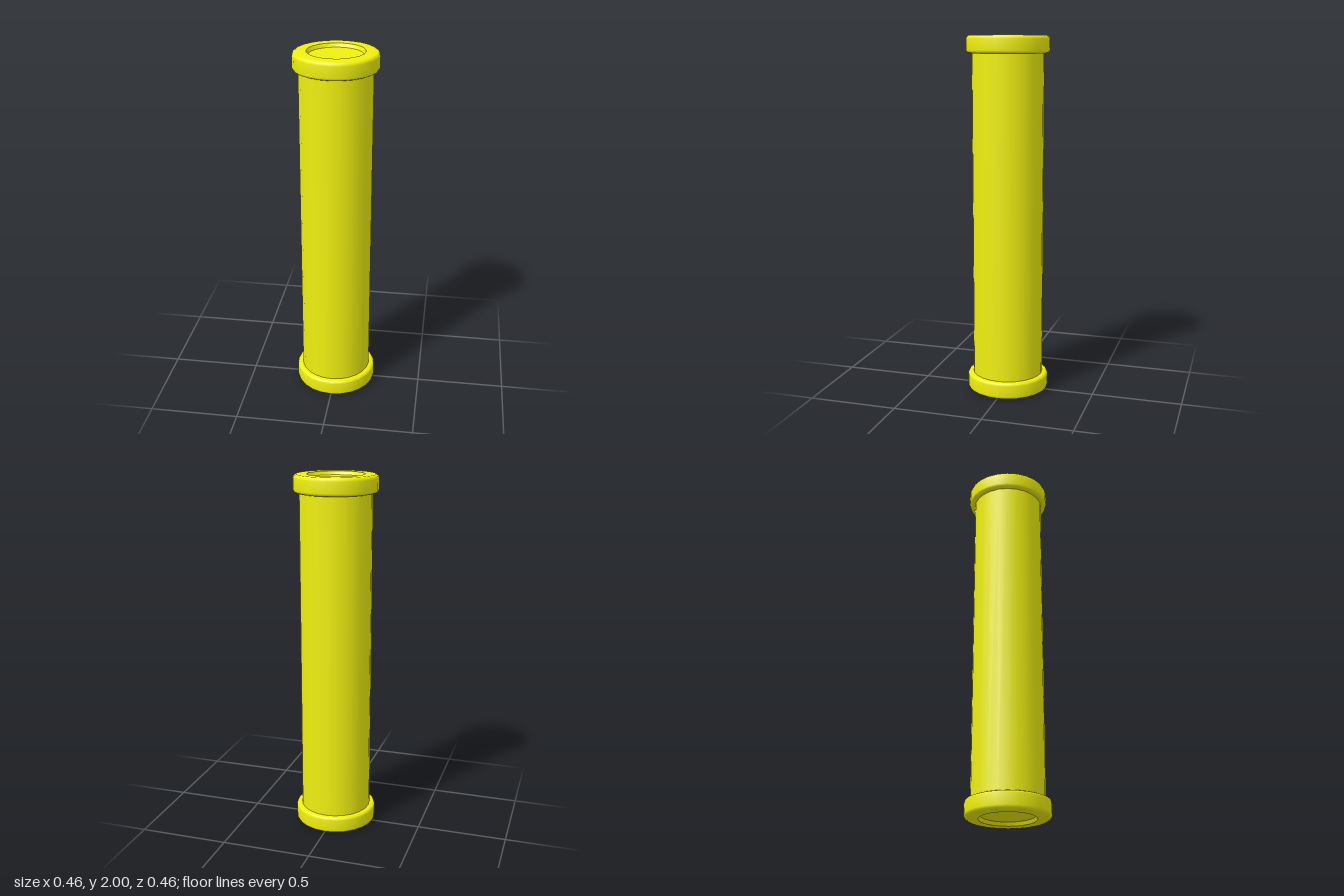
import * as THREE from 'three';

const SIDES = 24;
const material = new THREE.MeshStandardMaterial({ color: 0xf0f010 });

// Revolve a profile of [radius, height] pairs
function lathe(name, profile) {
  const points = profile.map(([r, y]) => new THREE.Vector2(r, y));
  const mesh = new THREE.Mesh(new THREE.LatheGeometry(points, SIDES), material);
  mesh.name = name;
  return mesh;
}

// Collar with rounded edges and a shallow recess, heights measured from the tube's middle
function createEnd(name) {
  const end = new THREE.Group();
  end.name = name;
  end.add(lathe('collar', [
    [0.197, 0.904], [0.215, 0.904], [0.225, 0.909], [0.23, 0.92],
    [0.23, 0.98], [0.225, 0.993], [0.213, 1], [0.155, 1],
  ]));
  end.add(lathe('recessWall', [[0.155, 1], [0.145, 0.98]]));
  end.add(lathe('recessFloor', [[0.145, 0.98], [0, 0.98]]));
  return end;
}

export function createModel() {
  const model = new THREE.Group();
  model.name = 'collaredTube';

  // Main shaft between the collars
  const shaft = new THREE.Mesh(new THREE.CylinderGeometry(0.198, 0.198, 1.82, SIDES, 1, true), material);
  shaft.name = 'shaft';
  shaft.position.y = 1;
  model.add(shaft);

  // Matching ends, the lower one turned upside down
  const topEnd = createEnd('topEnd');
  const bottomEnd = createEnd('bottomEnd');
  topEnd.position.y = bottomEnd.position.y = 1;
  bottomEnd.rotation.x = Math.PI;
  model.add(topEnd, bottomEnd);
  return model;
}
